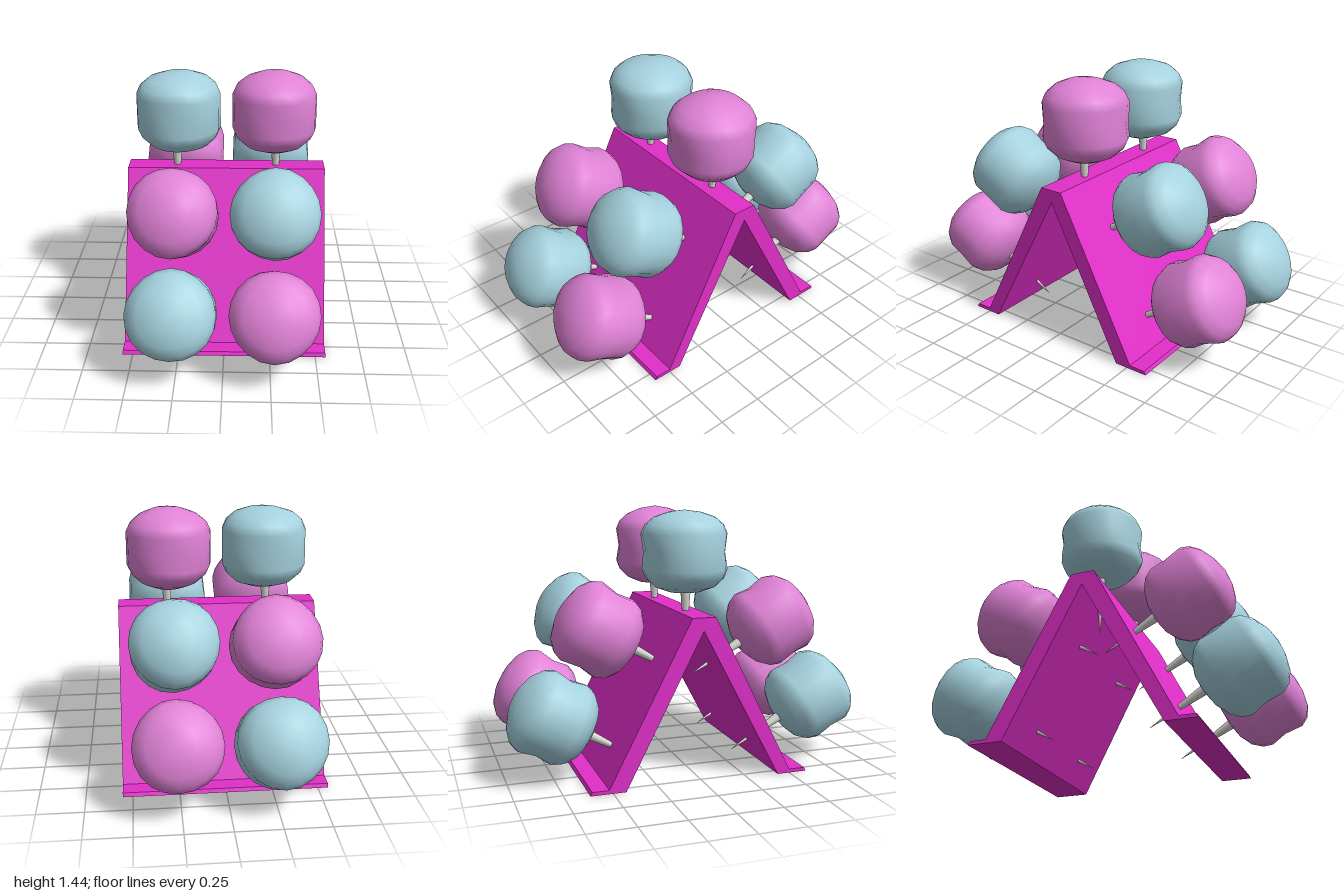
import * as THREE from 'three';
import { mergeVertices } from 'three/addons/utils/BufferGeometryUtils.js';

const material = (name, color) => {
  const m = new THREE.MeshStandardMaterial({ color });
  m.name = name;
  return m;
};

// Soft lumpy drum: a lathe with a slight waist, displaced by a gentle wave
function marshmallowGeometry(seed) {
  const profile = [
    [0, -0.225], [0.09, -0.215], [0.165, -0.185], [0.212, -0.14], [0.234, -0.09],
    [0.234, 0], [0.234, 0.1], [0.212, 0.148], [0.165, 0.188], [0.09, 0.216], [0, 0.23],
  ].map(([r, y]) => new THREE.Vector2(r, y));
  let geo = new THREE.LatheGeometry(profile, 20);
  geo.deleteAttribute('uv');
  geo.deleteAttribute('normal');
  geo = mergeVertices(geo, 1e-4);
  const p = geo.attributes.position;
  for (let i = 0; i < p.count; i++) {
    const x = p.getX(i), y = p.getY(i), z = p.getZ(i);
    const a = Math.atan2(z, x);
    const waist = 0.07 * Math.sin(a) ** 2 * Math.max(0, 1 - Math.abs(y) / 0.1);
    const wave = 0.018 * Math.sin(3 * a + seed * 1.7 + y * 9);
    const s = 1 - waist + wave;
    p.setXYZ(i, x * (1 + wave * 0.4), y * (1 + 0.02 * Math.sin(x * 14 + seed) * Math.cos(z * 12)), z * s);
  }
  geo.computeVertexNormals();
  return geo;
}

export function createModel() {
  const magenta = material('magenta stand', 0xe02ec8);
  const pink = material('pink marshmallow', 0xe082d6);
  const blue = material('blue marshmallow', 0xa5d1de);
  const grey = material('pale stick', 0xd8d8d4);
  const model = new THREE.Group();
  model.name = 'marshmallowStand';

  // Folded A-shaped stand with small feet, profile drawn as (z, y)
  const outline = new THREE.Shape([
    [0.43, 0], [0.60, 0], [0.59, 0.02], [0.50, 0.02], [0.06, 0.89], [-0.07, 0.89],
    [-0.52, 0.02], [-0.61, 0.02], [-0.62, 0], [-0.43, 0], [-0.007, 0.82],
  ].map(([z, y]) => new THREE.Vector2(z, y)));
  const standGeo = new THREE.ExtrudeGeometry(outline, { depth: 1.11, bevelEnabled: false });
  standGeo.translate(0, 0, -0.555).rotateY(-Math.PI / 2);
  const stand = new THREE.Mesh(standGeo, magenta);
  stand.name = 'stand';
  model.add(stand);

  // Tapered stick, point downward
  const stickGeo = new THREE.CylinderGeometry(0.032, 0.001, 0.4, 12);
  stickGeo.translate(0, -0.355, 0);

  // Rows: centre height, depth, tilt about x, colour on the -x side
  const rows = [
    ['top', 1.205, -0.012, 0, blue],
    ['frontUpper', 0.805, 0.5, 1.05, pink],
    ['frontLower', 0.35, 0.75, 1.05, blue],
    ['backUpper', 0.805, -0.5, -1.05, pink],
    ['backLower', 0.35, -0.75, -1.05, blue],
  ];
  rows.forEach(([name, y, z, tilt, first], row) => {
    [-1, 1].forEach((side) => {
      const treat = new THREE.Group();
      treat.name = name + (side > 0 ? 'Left' : 'Right') + 'Treat';
      treat.position.set(side * 0.265, y, z);
      treat.rotation.x = tilt;
      const color = side < 0 ? first : first === blue ? pink : blue;
      const candy = new THREE.Mesh(marshmallowGeometry(row * 2 + side), color);
      candy.name = 'marshmallow';
      const stick = new THREE.Mesh(stickGeo, grey);
      stick.name = 'stick';
      stick.position.x = side * 0.015;
      treat.add(candy, stick);
      model.add(treat);
    });
  });
  return model;
}
